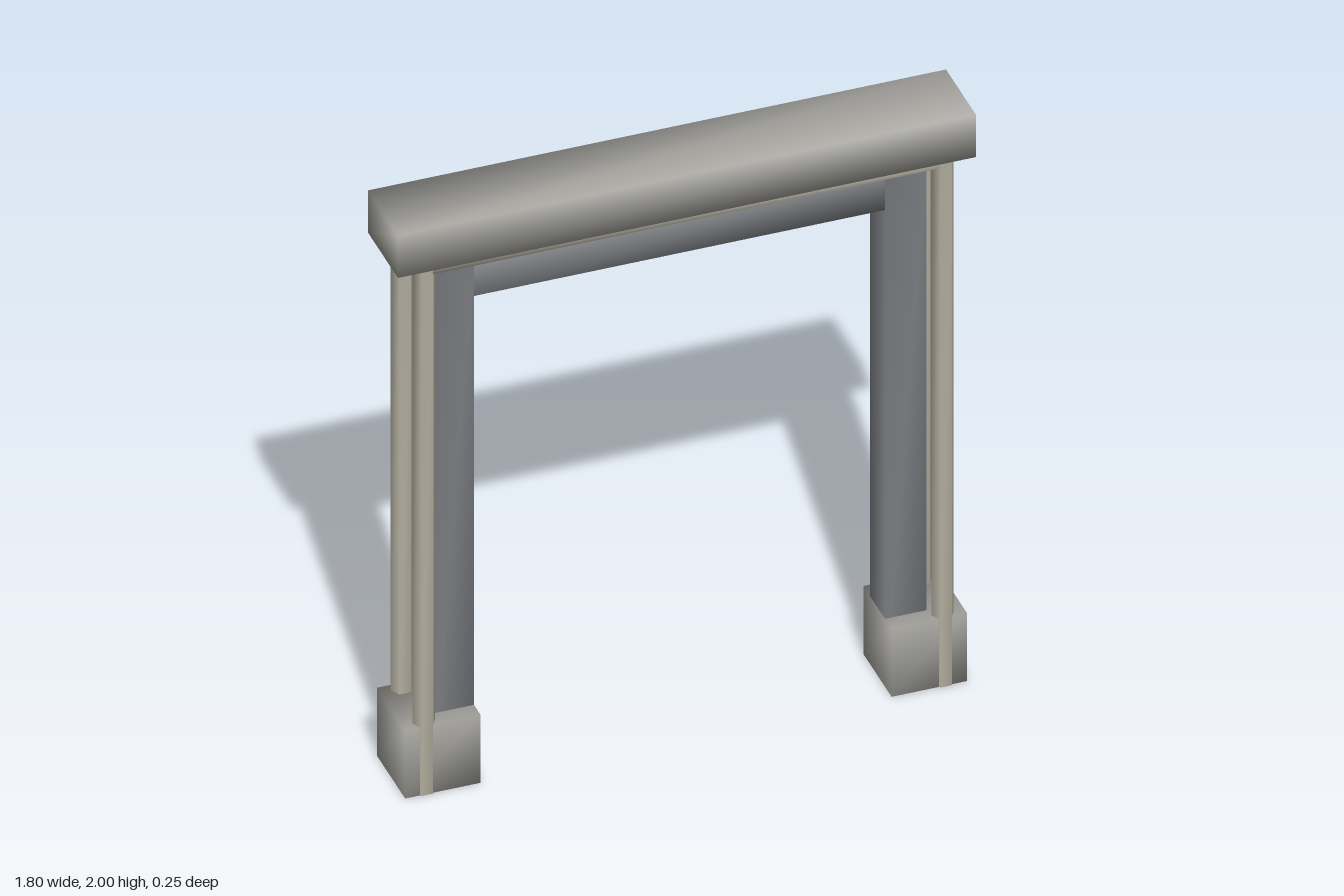
import * as THREE from 'three';
import { mergeVertices } from 'three/addons/utils/BufferGeometryUtils.js';

// Weld the corners so shading flows softly across the edges
function soften(geometry) {
  geometry.deleteAttribute('normal');
  geometry.deleteAttribute('uv');
  const welded = mergeVertices(geometry);
  welded.computeVertexNormals();
  return welded;
}

const block = (w, h, d) => soften(new THREE.BoxGeometry(w, h, d));

// Six-sided rod along y, with two corners pointing along x
const rod = (length) => soften(new THREE.CylinderGeometry(0.035, 0.035, length, 6).rotateY(Math.PI / 2));

export function createModel() {
  const model = new THREE.Group();
  model.name = 'doorFrame';

  const stone = new THREE.MeshStandardMaterial({ color: 0xa3a29d });
  const trim = new THREE.MeshStandardMaterial({ color: 0xb3ae9f });
  const slate = new THREE.MeshStandardMaterial({ color: 0x7d8084 });

  function add(name, geometry, material, x, y, z) {
    const mesh = new THREE.Mesh(geometry, material);
    mesh.name = name;
    mesh.position.set(x, y, z);
    model.add(mesh);
  }

  // Heavy beam on top and the inner header below it
  add('lintel', block(1.8, 0.15, 0.25), stone, 0, 1.925, 0);
  add('header', block(1.28, 0.135, 0.126), slate, 0, 1.7525, 0);

  // Inner jambs and foot blocks
  const jamb = block(0.13, 1.82, 0.126);
  const foot = block(0.235, 0.24, 0.237);
  const post = rod(1.885);
  for (const [side, s] of [['left', 1], ['right', -1]]) {
    add(side + 'Jamb', jamb, slate, s * 0.705, 0.91, 0);
    add(side + 'Foot', foot, stone, s * 0.7575, 0.12, 0);

    // Trim posts in front and behind
    add(side + 'FrontTrimPost', post, trim, s * 0.808, 0.9425, 0.093);
    add(side + 'BackTrimPost', post, trim, s * 0.808, 0.9425, -0.093);
  }

  // Trim bars joining the posts under the lintel
  const bar = rod(1.616).rotateZ(Math.PI / 2);
  add('frontTrimBar', bar, trim, 0, 1.853, 0.093);
  add('backTrimBar', bar, trim, 0, 1.853, -0.093);

  return model;
}
